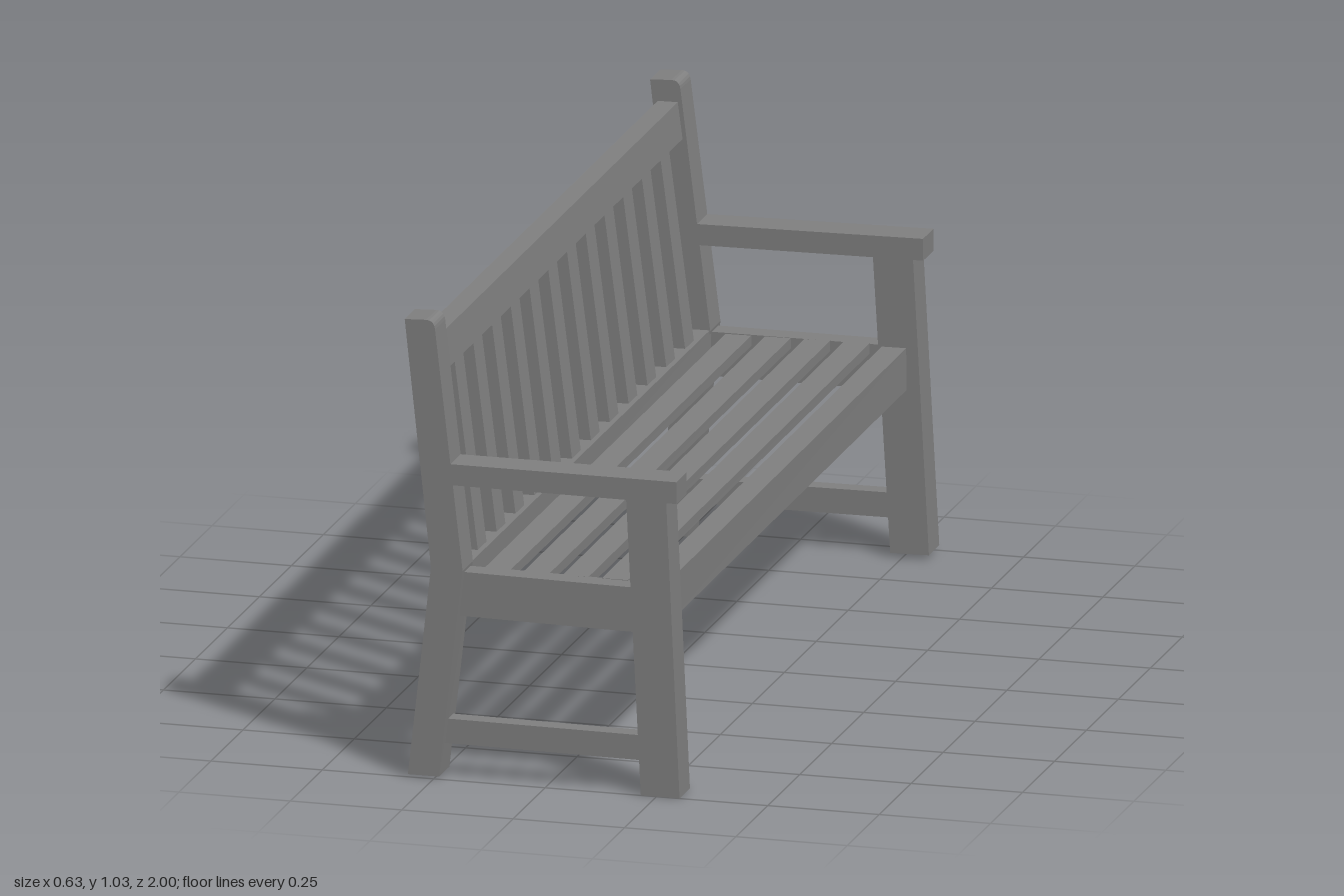
import * as THREE from 'three';

const material = new THREE.MeshStandardMaterial({ color: 0x808080, flatShading: true });

// Hand-built slant: towards -z each timber twists slightly forward at the feet and up at the front
function settle(geometry) {
  const p = geometry.attributes.position;
  for (let i = 0; i < p.count; i++) {
    const t = (1 - p.getZ(i)) / 2, x = p.getX(i), y = p.getY(i);
    p.setXY(i, x + 0.009 * t * (1 - y), y + t * (0.007 + 0.015 * x));
  }
  geometry.computeVertexNormals();
  return geometry;
}

const polygon = (points) => new THREE.Shape(points.map(([x, y]) => new THREE.Vector2(x, y)));
const rect = (x0, x1, y0, y1) => polygon([[x0, y0], [x1, y0], [x1, y1], [x0, y1]]);

// A timber: side profile in x/y, running from z0 to z1
function timber(name, shape, z0, z1) {
  const geometry = new THREE.ExtrudeGeometry(shape, { depth: z1 - z0, bevelEnabled: false, curveSegments: 5 });
  geometry.translate(0, 0, z0);
  const mesh = new THREE.Mesh(settle(geometry), material);
  mesh.name = name;
  return mesh;
}

// Front face of the leaning backrest at height y
const lean = (y) => -0.193 - 0.123 * (y - 0.475);
const leaning = (inset, thick, y0, y1) => polygon([
  [lean(y0) - inset - thick, y0], [lean(y0) - inset, y0],
  [lean(y1) - inset, y1], [lean(y1) - inset - thick, y1],
]);

// Bent rear post with a rounded top front corner
function postShape() {
  const s = new THREE.Shape();
  s.moveTo(-0.308, 0.006);
  s.lineTo(-0.238, 0.006);
  s.lineTo(-0.185, 0.472);
  s.lineTo(-0.247, 1.01);
  s.quadraticCurveTo(-0.249, 1.03, -0.267, 1.03);
  s.lineTo(-0.315, 1.028);
  s.lineTo(-0.256, 0.475);
  s.closePath();
  return s;
}

export function createModel() {
  const bench = new THREE.Group();
  bench.name = 'bench';

  // End frames
  for (const side of [1, -1]) {
    const frame = new THREE.Group();
    frame.name = side > 0 ? 'leftEndFrame' : 'rightEndFrame';
    const add = (name, shape, inner, outer) =>
      frame.add(timber(name, shape, Math.min(side * inner, side * outer), Math.max(side * inner, side * outer)));
    add('rearPost', postShape(), 0.92, 1);
    add('frontLeg', polygon([[0.215, 0], [0.302, 0], [0.272, 0.663], [0.182, 0.663]]), 0.92, 1);
    add('armrest', polygon([[-0.215, 0.663], [0.295, 0.661], [0.295, 0.71], [-0.222, 0.71]]), 0.92, 1);
    add('sideSeatRail', polygon([[-0.22, 0.367], [0.22, 0.361], [0.22, 0.461], [-0.21, 0.466]]), 0.935, 0.985);
    add('sideStretcher', polygon([[-0.25, 0.077], [0.23, 0.073], [0.23, 0.129], [-0.24, 0.132]]), 0.94, 0.98);
    bench.add(frame);
  }

  // Seat: front rail and four slats
  bench.add(timber('frontSeatRail', rect(0.2, 0.255, 0.368, 0.462), -0.93, 0.93));
  for (let i = 0; i < 4; i++) {
    const x = -0.155 + i * 0.0885;
    bench.add(timber('seatSlat', rect(x, x + 0.058, 0.44, 0.463), -0.94, 0.94));
  }

  // Backrest: lower and upper rails with upright slats between
  bench.add(timber('lowerBackRail', rect(-0.245, -0.186, 0.383, 0.473), -0.93, 0.93));
  bench.add(timber('upperBackRail', leaning(-0.002, 0.045, 0.899, 0.981), -0.93, 0.93));
  for (let i = 0; i < 12; i++) {
    const z = -0.804 + i * 0.1462;
    bench.add(timber('backSlat', leaning(0.005, 0.028, 0.465, 0.91), z - 0.034, z + 0.034));
  }
  return bench;
}
